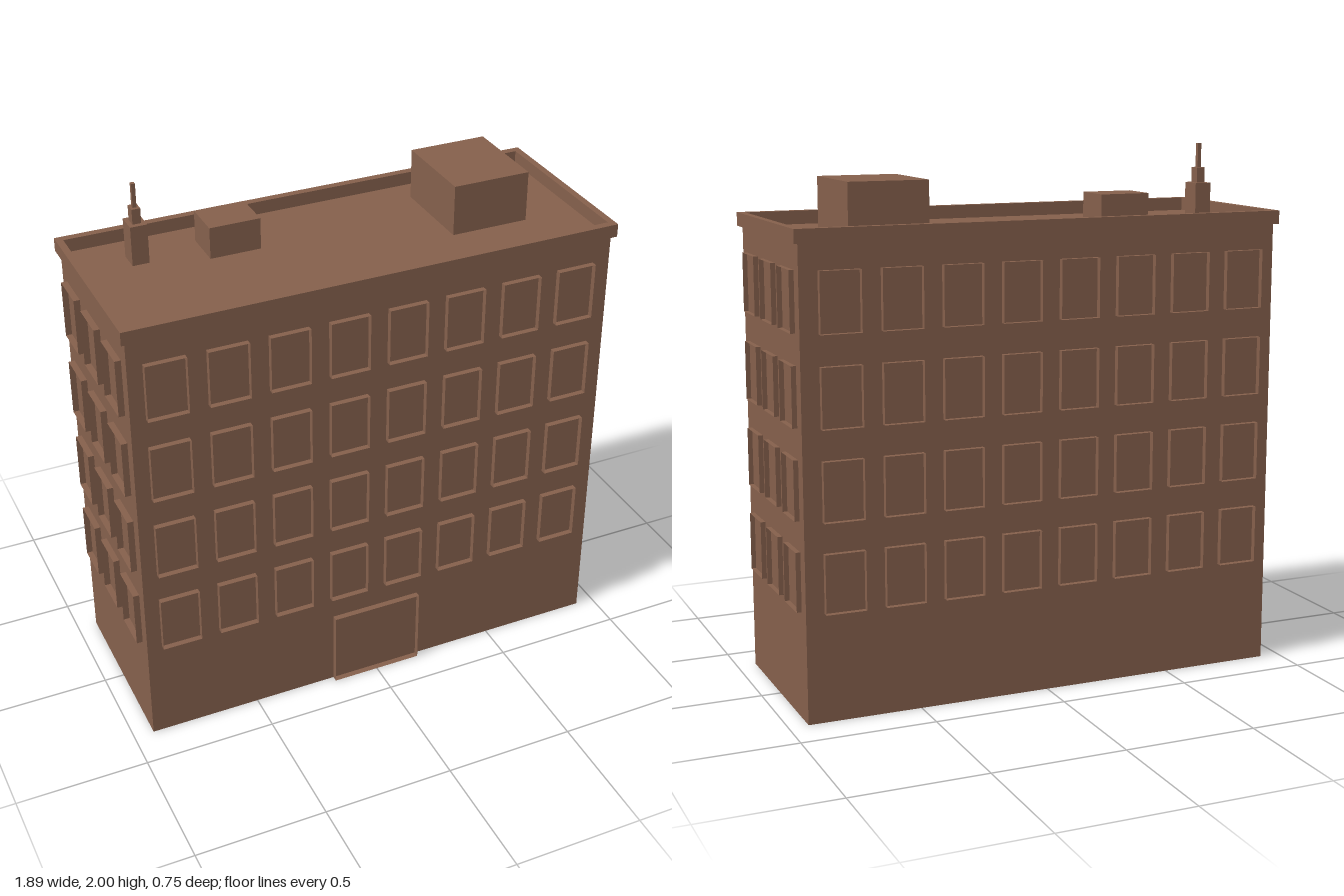
import * as THREE from 'three';

const brick = new THREE.MeshStandardMaterial({ color: 0x85604c, flatShading: true, side: THREE.DoubleSide });

// Box given by its limits; faces listed in `open` are left out (0 +x, 1 -x, 2 +y, 3 -y, 4 +z, 5 -z)
function box(name, [x0, x1], [y0, y1], [z0, z1], open = []) {
  const g = new THREE.BoxGeometry(x1 - x0, y1 - y0, z1 - z0);
  const index = Array.from(g.index.array).filter((_, i) => !open.includes(Math.floor(i / 6)));
  g.setIndex(index);
  g.clearGroups();
  g.translate((x0 + x1) / 2, (y0 + y1) / 2, (z0 + z1) / 2);
  const mesh = new THREE.Mesh(g, brick);
  mesh.name = name;
  return mesh;
}

// Range of a given width around a centre
const around = (c, w) => [c - w / 2, c + w / 2];

export function createModel() {
  const model = new THREE.Group();
  model.name = 'apartmentBuilding';

  const wallX = [-0.924, 0.927], wallZ = [-0.352, 0.353], roofY = 1.703;

  // Walls and flat roof, open underneath
  model.add(box('walls', wallX, [0, roofY], wallZ, [3]));

  // Parapet: rectangular ring round the roof edge
  const ring = new THREE.Shape([[-0.94, -0.368], [0.944, -0.368], [0.944, 0.368], [-0.94, 0.368]]
    .map(p => new THREE.Vector2(...p)));
  ring.holes.push(new THREE.Path([[-0.914, -0.339], [-0.914, 0.339], [0.918, 0.339], [0.918, -0.339]]
    .map(p => new THREE.Vector2(...p))));
  const parapetGeo = new THREE.ExtrudeGeometry(ring, { depth: 0.05, bevelEnabled: false });
  parapetGeo.rotateX(-Math.PI / 2).translate(0, roofY, 0);
  const parapet = new THREE.Mesh(parapetGeo, brick);
  parapet.name = 'parapet';
  model.add(parapet);

  // Window surrounds: thin open frames standing out from the walls
  const windows = new THREE.Group();
  windows.name = 'windows';
  for (let floor = 0; floor < 4; floor++) {
    const y = around(0.51 + floor * 0.33, 0.218);
    for (let i = 0; i < 8; i++) {
      const x = around(-0.793 + i * 0.2253, 0.15);
      windows.add(box('frontWindow', x, y, [wallZ[1], 0.375], [4, 5]));
      windows.add(box('backWindow', x, y, [-0.374, wallZ[0]], [4, 5]));
    }
    for (let i = 0; i < 3; i++) {
      const z = around((i - 1) * 0.2253, 0.15);
      windows.add(box('leftWindow', [wallX[1], 0.945], y, z, [0, 1]));
      windows.add(box('rightWindow', [-0.947, wallX[0]], y, z, [0, 1]));
    }
  }
  model.add(windows);

  // Entrance surround
  model.add(box('entrance', [-0.178, 0.178], [0, 0.305], [wallZ[1], 0.376], [4, 5]));

  // Rooftop structures
  model.add(box('stairHouse', [0.41, 0.71], [roofY, 1.895], [-0.236, 0.112]));
  model.add(box('ventUnit', [-0.457, -0.264], [roofY, 1.823], [-0.234, -0.08]));

  // Stepped mast
  const mast = new THREE.Group();
  mast.name = 'mast';
  const mx = -0.694, mz = -0.182;
  mast.add(box('mastBase', around(mx, 0.063), [roofY, 1.853], around(mz, 0.08)));
  mast.add(box('mastCollar', around(mx, 0.032), [1.853, 1.91], around(mz, 0.042)));
  mast.add(box('mastRod', around(mx, 0.014), [1.91, 2], around(mz, 0.016)));
  model.add(mast);

  return model;
}
